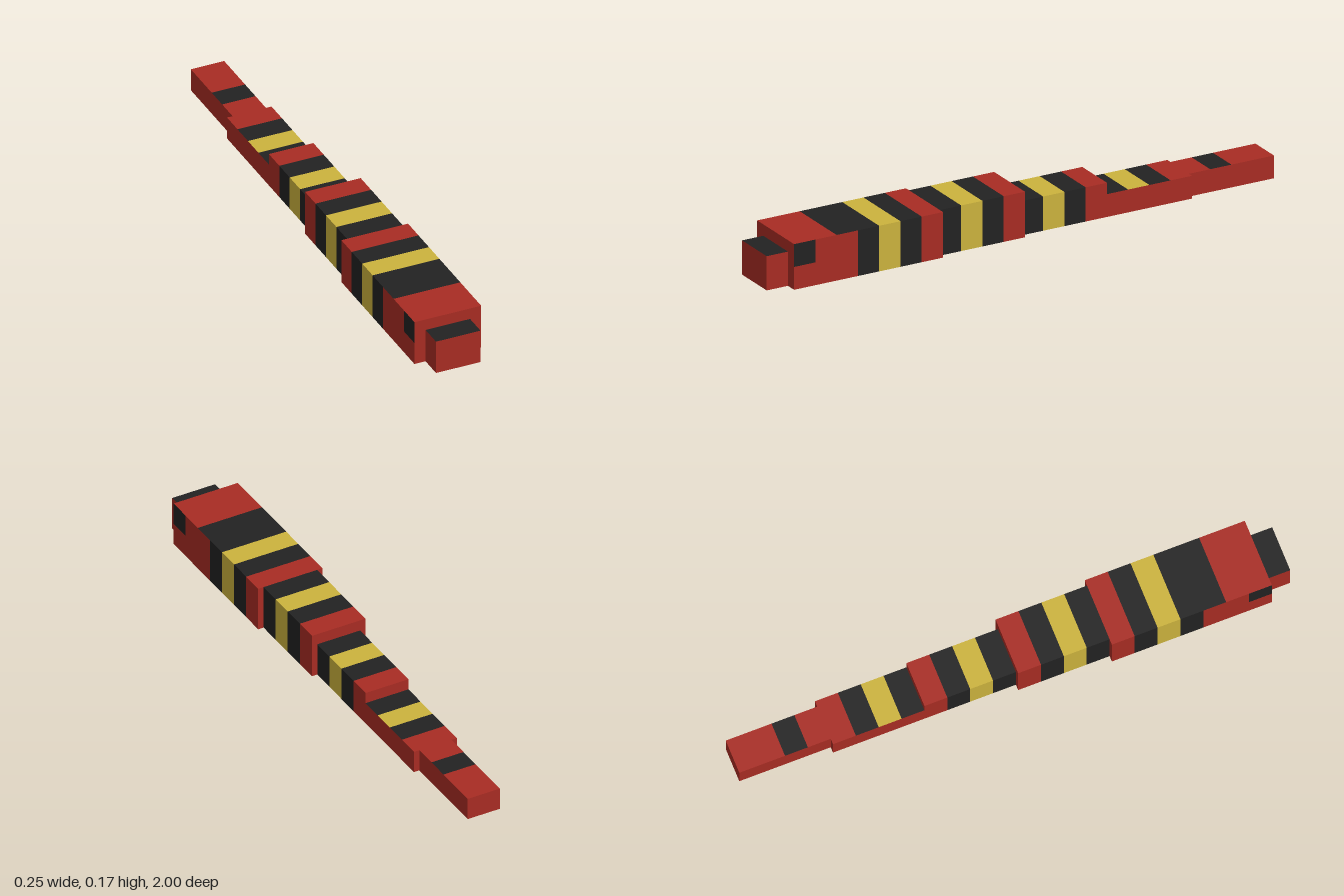
import * as THREE from 'three';

const U = 1 / 12; // stripe length

const make = (name, color) => {
  const m = new THREE.MeshStandardMaterial({ color });
  m.name = name;
  return m;
};

// Segments from snout to tail. Stripe letters run front to back, one per unit:
// r red, b black, y yellow, g grey.
const SEGMENTS = [
  { name: 'snout', front: 12, width: 2, height: 1.5, top: 'b', side: 'r', belly: 'r' },
  { name: 'head', front: 11, width: 3, height: 2, top: 'rrbbybr', side: 'rrrbybr', belly: 'rrrgggg', eyes: true },
  { name: 'frontBody', front: 4, width: 2.5, height: 2, top: 'bybr', side: 'bybr', belly: 'gggg' },
  { name: 'rearBody', front: 0, width: 2, height: 1.5, top: 'bybr', side: 'bybr', belly: 'gggg' },
  { name: 'tailBase', front: -4, width: 2, height: 1, top: 'bybr', side: 'rrrr', belly: 'gggg' },
  { name: 'tailTip', front: -8, width: 1.5, height: 1, top: 'rbrr', side: 'rrrr', belly: 'gggg' },
];

export function createModel() {
  const materials = [
    make('red', 0xa82c23),
    make('black', 0x222222),
    make('yellow', 0xccb33d),
    make('bellyGrey', 0x9c9481),
  ];
  const group = new THREE.Group();
  group.name = 'bandedSnake';

  for (const s of SEGMENTS) {
    const n = s.top.length;
    const h = s.height * U;
    const geo = new THREE.BoxGeometry(s.width * U, h, n * U, 1, s.eyes ? 2 : 1, n);
    geo.translate(0, h / 2, (s.front - n / 2) * U);

    // Colour each cell of the box by its facing and its place along the body
    const { position: p, normal } = geo.attributes;
    geo.clearGroups();
    for (let i = 0; i < geo.index.count; i += 6) {
      let y = 0, z = 0;
      for (let k = 0; k < 6; k++) {
        y += p.getY(geo.index.getX(i + k)) / 6;
        z += p.getZ(geo.index.getX(i + k)) / 6;
      }
      const v = geo.index.getX(i);
      const cell = Math.min(n - 1, Math.max(0, Math.floor(s.front - z / U)));
      let letter = 'r'; // end faces
      if (normal.getY(v) > 0.5) letter = s.top[cell];
      else if (normal.getY(v) < -0.5) letter = s.belly[cell];
      else if (Math.abs(normal.getX(v)) > 0.5) {
        const eye = s.eyes && cell === 0 && y > h / 2;
        letter = eye ? 'b' : s.side[cell];
      }
      geo.addGroup(i, 6, 'rbyg'.indexOf(letter));
    }

    const mesh = new THREE.Mesh(geo, materials);
    mesh.name = s.name;
    group.add(mesh);
  }
  return group;
}
